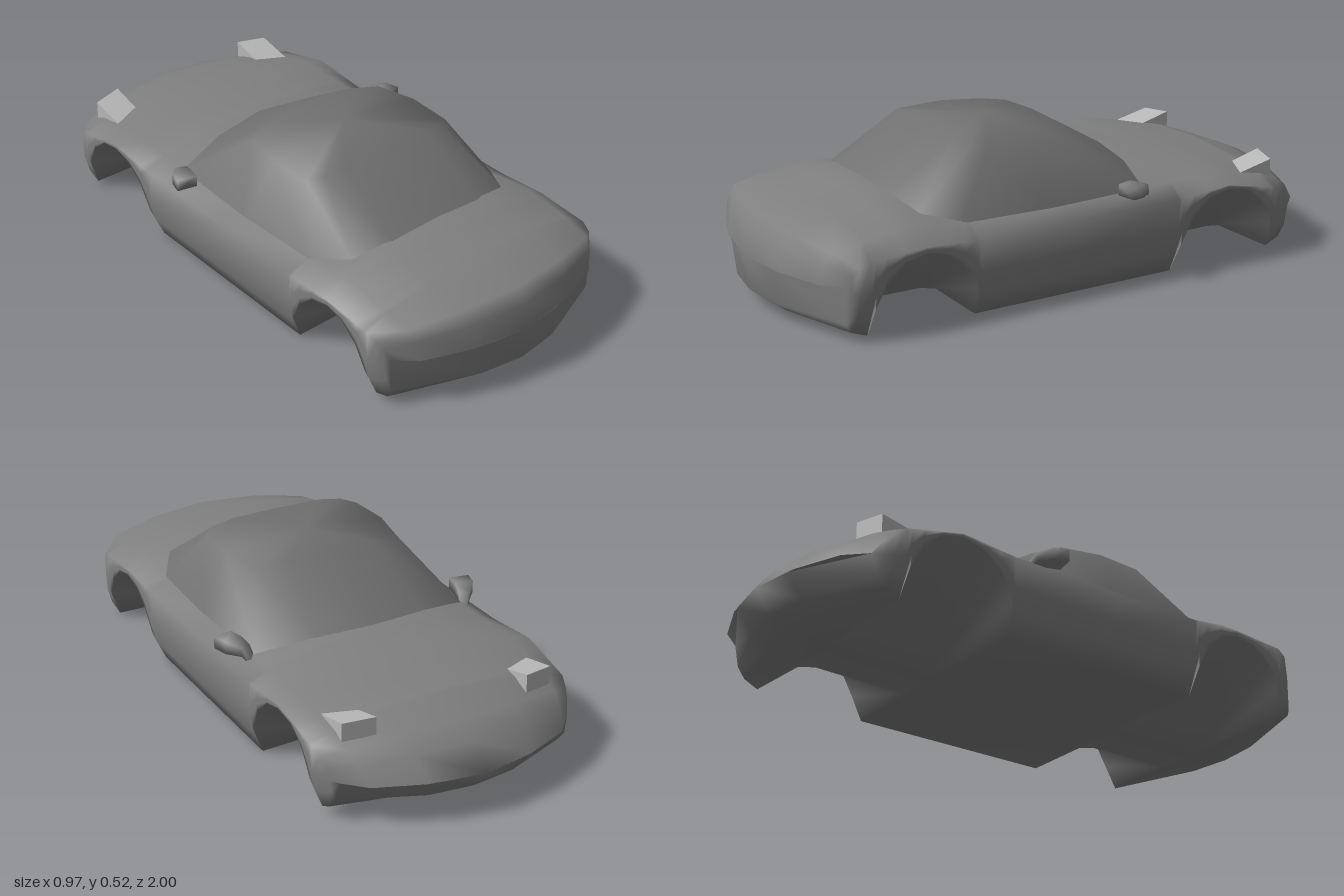
import * as THREE from 'three';
import { mergeVertices, toCreasedNormals } from 'three/addons/utils/BufferGeometryUtils.js';

const paint = color => new THREE.MeshStandardMaterial({ color, side: THREE.DoubleSide });
const bodyPaint = paint(0x808080);
const cabinPaint = paint(0x707070);
const lampPaint = paint(0xb8b8b8);

// Skins a list of closed rings of [x, y, z] points with smooth normals.
function loft(rings) {
  const n = rings[0].length, index = [];
  for (let i = 0; i < rings.length - 1; i++) {
    for (let j = 0; j < n; j++) {
      const a = i * n + j, b = i * n + (j + 1) % n;
      index.push(a, b, a + n, b, b + n, a + n);
    }
  }
  const g = new THREE.BufferGeometry();
  g.setAttribute('position', new THREE.Float32BufferAttribute(rings.flat(2), 3));
  g.setIndex(index);
  const merged = mergeVertices(g);
  merged.computeVertexNormals();
  return merged;
}

// Completes a half ring that starts and ends on the centre line.
const mirrorRing = half => [
  ...half,
  ...half.slice(1, -1).reverse().map(([x, y, z]) => [-x, y, z]),
];

function addMesh(parent, name, geometry, material, mirrored = false) {
  const mesh = new THREE.Mesh(geometry, material);
  mesh.name = name;
  if (mirrored) mesh.scale.x = -1;
  parent.add(mesh);
}

// Key body sections: z, bend, half width, top, shoulder, belt, lower lip, floor
const tail = [
  [0.997, 0.15, 0.43, 0.18, 0.18, 0.18, 0.18, 0.18],
  [0.983, 0.15, 0.44, 0.265, 0.245, 0.215, 0.06, 0.06],
  [0.945, 0.13, 0.455, 0.305, 0.28, 0.24, 0.035, 0.03],
];
const middle = [
  [0.78, 0, 0.462, 0.335, 0.298, 0.258, 0.01, 0.01],
  [0.59, 0, 0.462, 0.368, 0.322, 0.272, 0, 0.01],
  [0.4, 0, 0.459, 0.35, 0.3, 0.26, 0, 0.008],
  [-0.345, 0, 0.46, 0.343, 0.3, 0.262, 0, 0.008],
  [-0.545, 0, 0.462, 0.326, 0.299, 0.279, 0, 0.011],
  [-0.745, 0, 0.455, 0.298, 0.263, 0.236, 0.015, 0.015],
];
const nose = [
  [-0.86, 0.08, 0.445, 0.258, 0.233, 0.21, 0.04, 0.035],
  [-0.94, 0.13, 0.43, 0.22, 0.2, 0.185, 0.075, 0.068],
  [-1, 0.16, 0.41, 0.142, 0.142, 0.142, 0.142, 0.142],
];

// Blends the two key sections around z.
function sectionAt(z) {
  const k = middle.findIndex((s, i) => i > 0 && z >= s[0] - 1e-6);
  const [a, b] = [middle[k - 1], middle[k]];
  const t = (z - a[0]) / (b[0] - a[0]);
  return a.map((v, i) => v + (b[i] - v) * t);
}

// Sections across a wheel arch, with the lower lip raised along a half ellipse.
function archSections(centre, radius, height) {
  const steps = 8;
  return Array.from({ length: steps + 1 }, (_, i) => {
    const angle = Math.PI * i / steps;
    const section = sectionAt(centre + radius * Math.cos(angle));
    section[6] += height * Math.sin(angle);
    return section;
  });
}

// One body ring; bend pulls the sides back to give nose and tail their pointed plan.
function bodyRing([z, bend, w, top, shoulder, belt, lip, floor]) {
  const sideX = y => w * (1 - 0.1 * Math.max(0, 1 - y / 0.15) ** 2);
  const mid = lip + (belt - lip) * 0.6, low = lip + (belt - lip) * 0.28;
  const half = [
    [0, top],
    [0.45 * w, top - 0.25 * (top - shoulder)],
    [0.84 * w, shoulder],
    [w, belt],
    [sideX(mid), mid],
    [sideX(low), low],
    [sideX(lip), lip],
    [0.15, floor],
    [0, floor],
  ];
  return mirrorRing(half.map(([x, y]) => {
    const u = x / w;
    return [x, y, z - Math.sign(z) * bend * (0.4 * u + 0.6 * u ** 5)];
  }));
}

function bodyGeometry() {
  const sections = [
    ...tail,
    ...archSections(0.59, 0.19, 0.25),
    sectionAt(0.05),
    ...archSections(-0.545, 0.2, 0.266),
    ...nose,
  ];
  return loft(sections.map(bodyRing));
}

// Glasshouse: apex, roof edge and base outline, each from windscreen to rear window.
function cabinGeometry() {
  const apex = Array.from({ length: 8 }, () => [0, 0.517, 0.12]);
  const roof = [
    [0, 0.5, -0.06], [0.16, 0.495, -0.05], [0.275, 0.477, -0.02], [0.3, 0.485, 0.13],
    [0.295, 0.482, 0.29], [0.25, 0.494, 0.325], [0.17, 0.506, 0.33], [0, 0.509, 0.33],
  ];
  const base = [
    [0, 0.342, -0.33], [0.2, 0.33, -0.305], [0.39, 0.298, -0.25], [0.402, 0.296, 0.1],
    [0.39, 0.298, 0.43], [0.32, 0.33, 0.54], [0.18, 0.355, 0.575], [0, 0.365, 0.577],
  ];
  return loft([apex, roof, base].map(mirrorRing));
}

// Raised lamp: a sharp-edged wedge with its tall face towards the nose.
function headlightGeometry() {
  const ring = (y0, y1, y2) => [
    [0.27, y0, -0.81], [0.375, y1, -0.785], [0.375, y2, -0.65], [0.27, y2, -0.67],
  ];
  const top = ring(0.315, 0.308, 0.278);
  const middlePoint = top.map(() => [0.32, 0.296, -0.73]);
  return toCreasedNormals(loft([middlePoint, top, ring(0.235, 0.235, 0.25)]), 0.5);
}

// Door mirror: foot on the body, widening to a flat glass.
function mirrorGeometry() {
  const rect = (x0, x1, y0, y1, z0, z1) => [
    [x0, y0, z0], [x1, y0, z1], [x1, y1, z1], [x0, y1, z0],
  ];
  const glass = rect(0.415, 0.483, 0.3, 0.338, -0.135, -0.15);
  return loft([
    glass.map(() => [0.449, 0.319, -0.143]),
    glass,
    rect(0.405, 0.468, 0.297, 0.34, -0.185, -0.2),
    rect(0.395, 0.43, 0.295, 0.325, -0.225, -0.24),
    rect(0.385, 0.405, 0.26, 0.285, -0.245, -0.262),
  ]);
}

export function createModel() {
  const car = new THREE.Group();
  car.name = 'car';
  addMesh(car, 'body', bodyGeometry(), bodyPaint);
  addMesh(car, 'cabin', cabinGeometry(), cabinPaint);
  for (const mirrored of [false, true]) {
    const side = mirrored ? 'right' : 'left';
    addMesh(car, side + 'Headlight', headlightGeometry(), lampPaint, mirrored);
    addMesh(car, side + 'DoorMirror', mirrorGeometry(), bodyPaint, mirrored);
  }
  return car;
}
